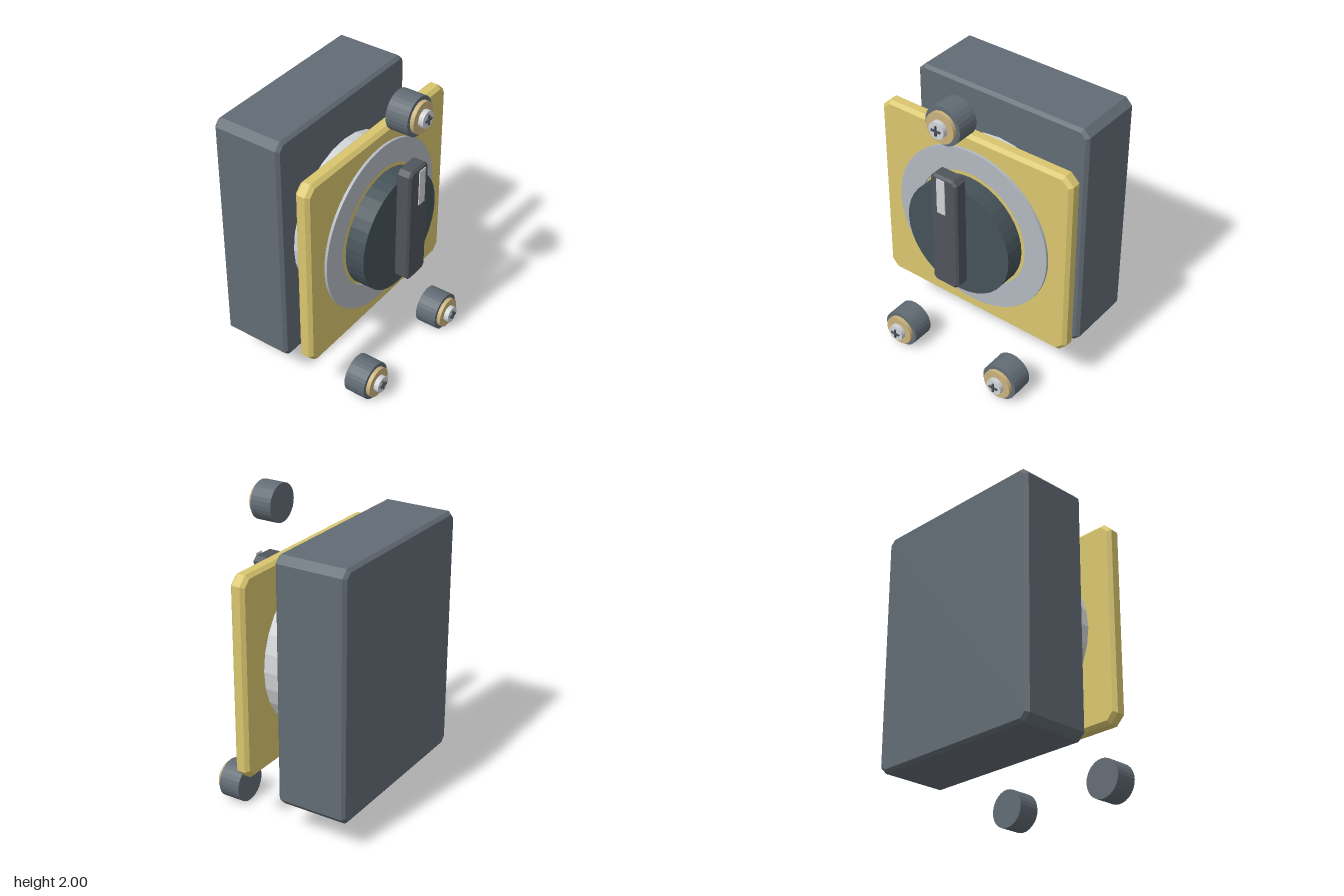
import * as THREE from 'three';

const paint = (color) => new THREE.MeshStandardMaterial({ color, flatShading: true });
const MID_Y = 1.005;

// Box with cut corners in the xy plane and a small bevel at front and back
function chamferBox(w, h, z0, z1, cut, bevel) {
  const x = w / 2 - bevel, y = h / 2 - bevel, c = cut - bevel * 0.586;
  const shape = new THREE.Shape([
    [x - c, -y], [x, -y + c], [x, y - c], [x - c, y],
    [-x + c, y], [-x, y - c], [-x, -y + c], [-x + c, -y],
  ].map(([a, b]) => new THREE.Vector2(a, b)));
  const geo = new THREE.ExtrudeGeometry(shape, {
    depth: z1 - z0 - 2 * bevel, bevelThickness: bevel, bevelSize: bevel, bevelSegments: 1,
  });
  return geo.translate(0, 0, z0 + bevel);
}

// Cylinder lying along z
function disc(r, z0, z1, sides) {
  return new THREE.CylinderGeometry(r, r, z1 - z0, sides).rotateX(Math.PI / 2).translate(0, 0, (z0 + z1) / 2);
}

function block(w, h, z0, z1) {
  return new THREE.BoxGeometry(w, h, z1 - z0).translate(0, 0, (z0 + z1) / 2);
}

export function createModel() {
  const model = new THREE.Group();
  const dark = paint(0x626b74), yellow = paint(0xd9c66e), silver = paint(0xd0d3d6);
  const dial = paint(0x455259), grip = paint(0x50555c), brass = paint(0xc9b27c);
  const ringGrey = paint(0xb3b9bf), slot = paint(0x4a525a);

  const add = (name, geo, mat, x = 0, y = MID_Y, parent = model) => {
    const mesh = new THREE.Mesh(geo, mat);
    mesh.name = name;
    mesh.position.set(x, y, 0);
    parent.add(mesh);
    return mesh;
  };

  // Body: rear housing, round neck and face plate
  add('housing', chamferBox(1.26, 1.61, -0.53, -0.06, 0.045, 0.02), dark);
  add('neck', disc(0.515, -0.06, 0.11, 28), silver);
  add('facePlate', chamferBox(1.41, 1.315, 0.105, 0.202, 0.057, 0.022), yellow, 0, 1.003);

  // Flat ring around the dial
  const ring = new THREE.Shape().absarc(0, 0, 0.563, 0, Math.PI * 2);
  ring.holes.push(new THREE.Path().absarc(0, 0, 0.403, 0, Math.PI * 2, true));
  add('dialRing', new THREE.ExtrudeGeometry(ring, { depth: 0.018, bevelEnabled: false, curveSegments: 40 })
    .translate(0, 0, 0.202), ringGrey);

  // Rotary knob: dial, grip bar and pointer strip
  add('dial', disc(0.385, 0.226, 0.354, 36), dial);
  add('gripBar', chamferBox(0.195, 0.8, 0.378, 0.478, 0.028, 0.014), grip, 0, 1.13);
  add('pointer', block(0.06, 0.24, 0.494, 0.5), silver, 0, 1.405);

  // Cross-slotted screw head
  const screwHead = (parent, x, y, r, z0, z1) => {
    add('screwHead', disc(r, z0, z1, 20), silver, x, y, parent);
    add('slotAcross', block(0.064, 0.012, z1, z1 + 0.009), slot, x, y, parent);
    add('slotUpright', block(0.012, 0.064, z1, z1 + 0.009), slot, x, y, parent);
  };

  // Three mounting posts standing free of the body
  for (const [x, y] of [[0, 1.876], [-0.402, 0.128], [0.402, 0.128]]) {
    const post = new THREE.Group();
    post.name = 'mountingPost';
    add('sleeve', disc(0.125, 0.316, 0.463, 28), dark, x, y, post);
    add('brassCollar', disc(0.1, 0.463, 0.489, 28), brass, x, y, post);
    screwHead(post, x, y, 0.055, 0.489, 0.521);
    model.add(post);
  }

  // Small screw hidden behind the face plate
  const hidden = new THREE.Group();
  hidden.name = 'rearScrew';
  screwHead(hidden, 0, 0.407, 0.05, 0.046, 0.08);
  model.add(hidden);

  return model;
}
